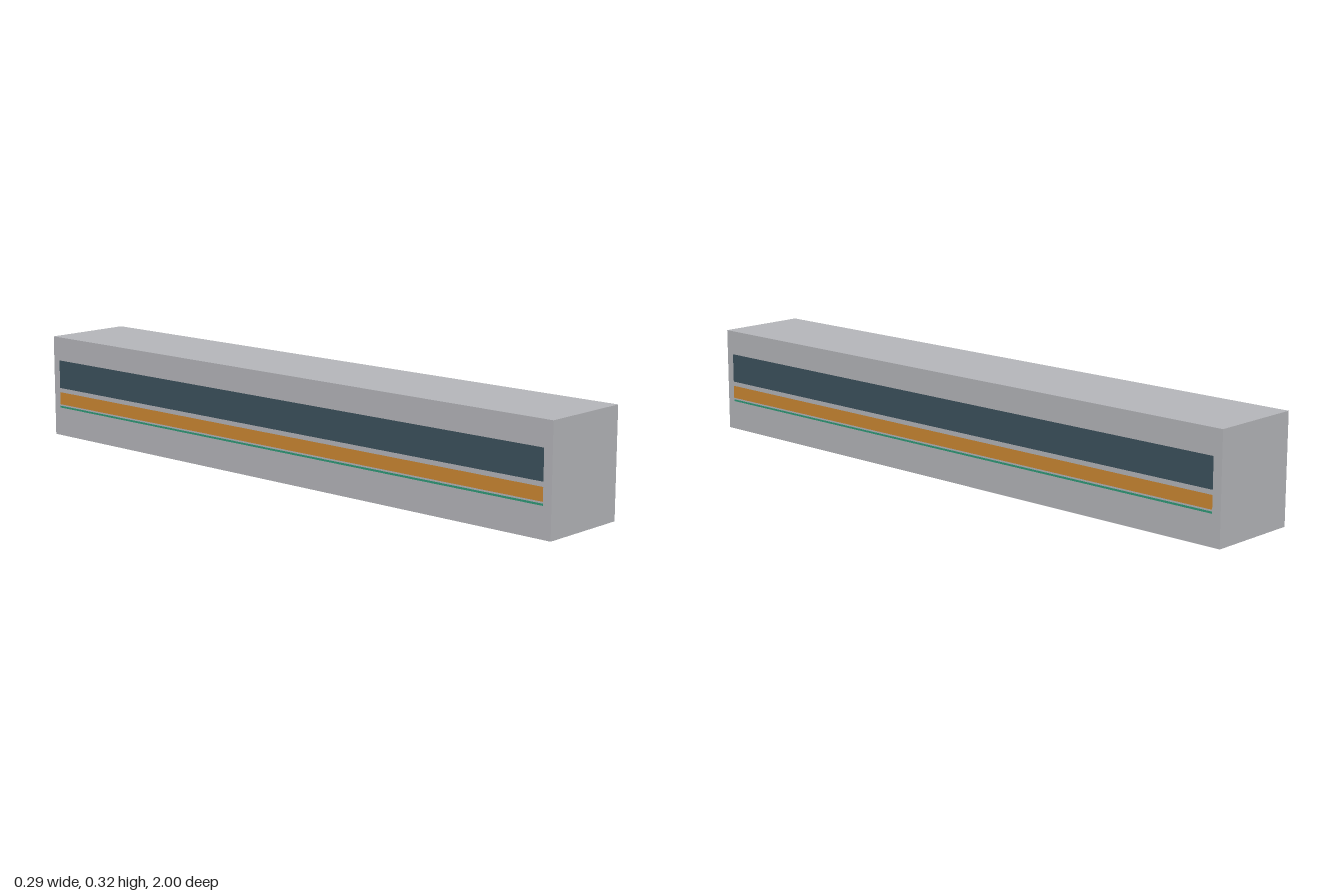
import * as THREE from 'three';

const WIDTH = 0.292, HEIGHT = 0.324, LENGTH = 2;

function paint(name, color, side = THREE.FrontSide) {
  const material = new THREE.MeshStandardMaterial({ color, side });
  material.name = name;
  return material;
}

export function createModel() {
  const group = new THREE.Group();
  group.name = 'railCarriage';

  const grey = paint('bodyGrey', 0xb4b5b9, THREE.DoubleSide);
  const glass = paint('windowSlate', 0x3c515d);
  const orange = paint('stripeOrange', 0xcb8731);
  const green = paint('stripeGreen', 0x2f9a78);

  // Body shell: a box with no floor (face 3 is the underside)
  const shell = new THREE.BoxGeometry(WIDTH, HEIGHT, LENGTH);
  const index = Array.from(shell.index.array);
  index.splice(3 * 6, 6);
  shell.setIndex(index);
  shell.clearGroups();
  const body = new THREE.Mesh(shell, grey);
  body.name = 'bodyShell';
  body.position.y = HEIGHT / 2;
  group.add(body);

  // Bands painted along both long sides: name, material, bottom, top
  const bands = [
    ['windowBand', glass, 0.157, 0.248],
    ['orangeStripe', orange, 0.103, 0.143],
    ['greenStripe', green, 0.092, 0.098],
  ];
  for (const side of [1, -1]) {
    for (const [name, material, bottom, top] of bands) {
      const band = new THREE.Mesh(new THREE.PlaneGeometry(1.946, top - bottom), material);
      band.name = (side > 0 ? 'left' : 'right') + name[0].toUpperCase() + name.slice(1);
      band.rotation.y = side * Math.PI / 2;
      band.position.set(side * (WIDTH / 2 + 0.001), (bottom + top) / 2, 0);
      group.add(band);
    }
  }
  return group;
}
